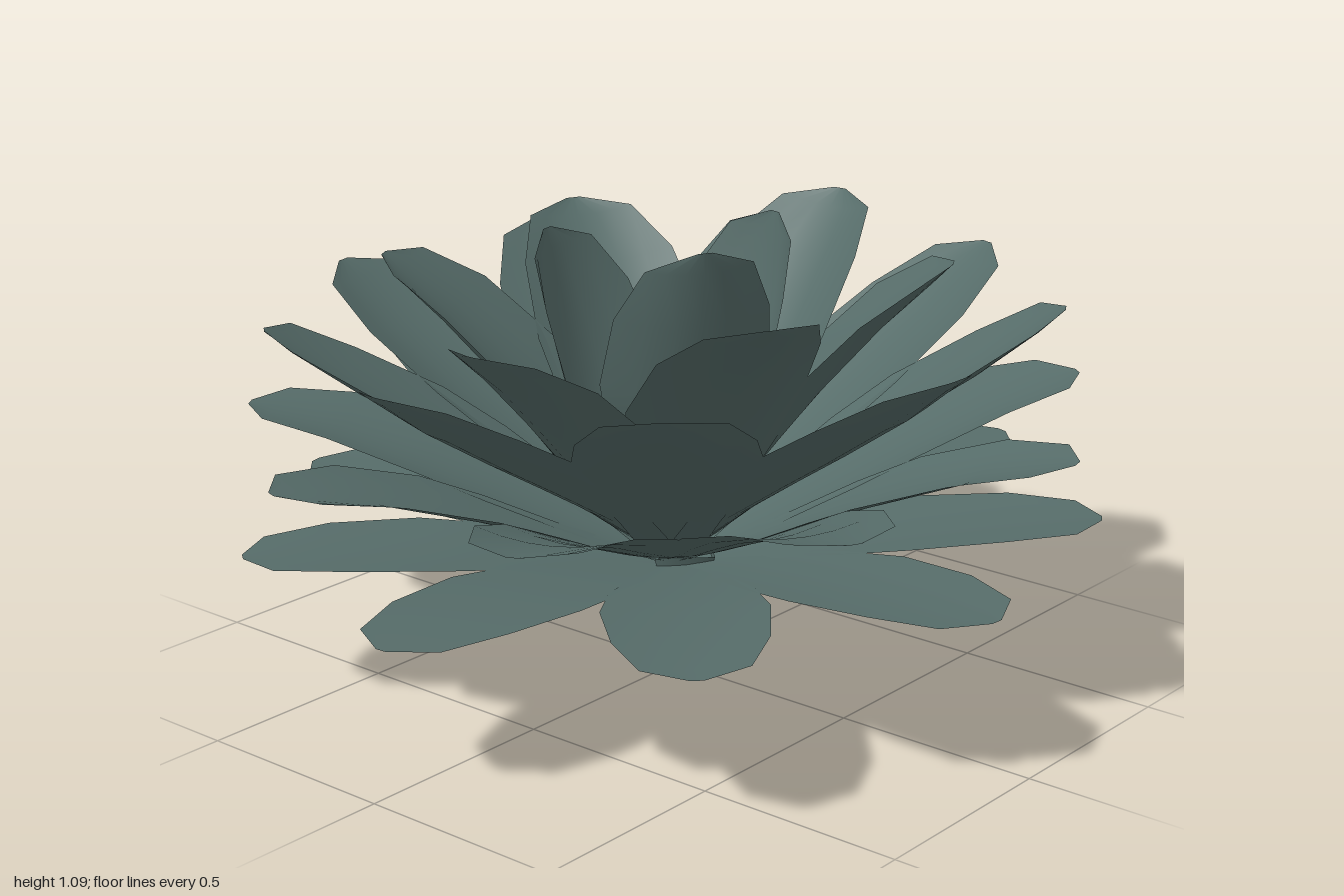
import * as THREE from 'three';

const material = new THREE.MeshStandardMaterial({ color: 0x566c69, side: THREE.DoubleSide });

// Leaf outline: [distance along the midrib, share of full half width]
const outline = [[0, 0.3], [0.2, 0.56], [0.4, 0.88], [0.56, 1], [0.78, 0.9], [0.94, 0.62], [1, 0.08]];
const COLS = 6;

// Thin cupped leaf growing along +x; midrib points are [radius, height]
function leafGeometry(midrib, halfWidth, cup) {
  const curve = new THREE.CatmullRomCurve3(midrib.map(([r, y]) => new THREE.Vector3(r, y, 0)));
  const positions = [], index = [];
  outline.forEach(([t, share], row) => {
    const p = curve.getPointAt(t), d = curve.getTangentAt(t);
    for (let c = 0; c <= COLS; c++) {
      const s = (c / COLS) * 2 - 1;
      const lift = cup * s * s * share * share;
      positions.push(p.x - d.y * lift, p.y + d.x * lift, s * halfWidth * share);
      if (row && c) {
        const b = row * (COLS + 1) + c, a = b - COLS - 1;
        index.push(a - 1, a, b, a - 1, b, b - 1);
      }
    }
  });
  const geometry = new THREE.BufferGeometry();
  geometry.setAttribute('position', new THREE.Float32BufferAttribute(positions, 3));
  geometry.setIndex(index);
  geometry.computeVertexNormals();
  return geometry;
}

const ring = (count, start) => Array.from({ length: count }, (_, i) => [start + (i * 360) / count, 1, 1]);

// Tiers from the outside in; each leaf is [angle, radial scale, height scale]
const tiers = [
  { name: 'outerLeaf', leaves: ring(9, 87), halfWidth: 0.185, cup: 0.01,
    midrib: [[0.03, 0.27], [0.2, 0.305], [0.5, 0.35], [0.75, 0.375], [1, 0.385]] },
  { name: 'lowerLeaf', leaves: ring(9, 68), halfWidth: 0.195, cup: 0.035,
    midrib: [[0.03, 0.28], [0.2, 0.345], [0.5, 0.475], [0.75, 0.575], [1, 0.64]] },
  { name: 'middleLeaf', leaves: ring(9, 90), halfWidth: 0.21, cup: 0.05,
    midrib: [[0.03, 0.29], [0.2, 0.42], [0.45, 0.58], [0.7, 0.74], [0.91, 0.9]] },
  { name: 'upperLeaf', halfWidth: 0.21, cup: 0.07,
    leaves: [[90, 0.96, 0.92], [150, 1, 1], [210, 1, 1], [270, 1.02, 1.03], [330, 1, 1], [30, 1, 1]],
    midrib: [[0.03, 0.3], [0.17, 0.46], [0.33, 0.66], [0.5, 0.85], [0.66, 1]] },
  { name: 'innerLeaf', halfWidth: 0.2, cup: 0.1,
    leaves: [[34, 1, 1.03], [170, 0.92, 0.98], [287, 0.92, 1]],
    midrib: [[0.03, 0.31], [0.14, 0.47], [0.24, 0.68], [0.3, 0.88], [0.34, 1.06]] },
  { name: 'budLeaf', leaves: ring(3, 100), halfWidth: 0.07, cup: 0.03,
    midrib: [[0.02, 0.31], [0.06, 0.42], [0.08, 0.52], [0.07, 0.62], [0.03, 0.7]] },
];

export function createModel() {
  const model = new THREE.Group();
  model.name = 'succulent';

  // Rosette, leaning very slightly
  const rosette = new THREE.Group();
  rosette.name = 'rosette';
  rosette.rotation.set(0.02, 0, 0.02);
  model.add(rosette);

  for (const { name, leaves, midrib, halfWidth, cup } of tiers) {
    const geometry = leafGeometry(midrib, halfWidth, cup);
    const tier = new THREE.Group();
    tier.name = name + 'Ring';
    leaves.forEach(([angle, radial, height]) => {
      const leaf = new THREE.Mesh(geometry, material);
      leaf.name = name;
      leaf.rotation.y = -THREE.MathUtils.degToRad(angle);
      leaf.scale.set(radial, height, 1);
      tier.add(leaf);
    });
    rosette.add(tier);
  }

  // Pointed root below the leaves
  const root = new THREE.Mesh(new THREE.ConeGeometry(0.1, 0.3, 4, 1, true), material);
  root.name = 'root';
  root.rotation.x = Math.PI;
  root.position.set(0.02, 0.15, 0);
  model.add(root);

  return model;
}
